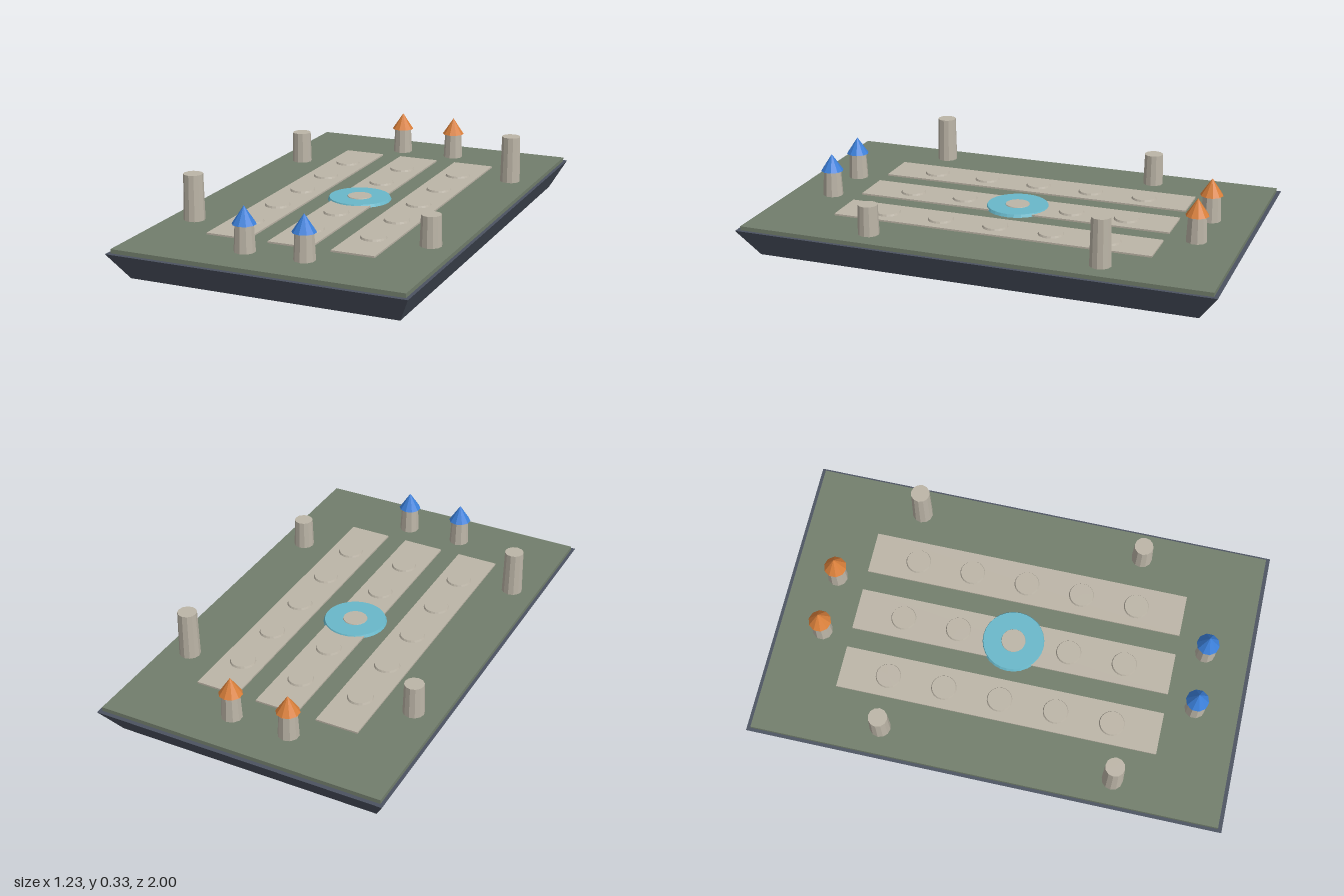
import * as THREE from 'three';

const mat = (name, color, flatShading = true) => {
  const m = new THREE.MeshStandardMaterial({ color, flatShading });
  m.name = name;
  return m;
};

export function createModel() {
  const slate = mat('slate', 0x4c5361);
  const moss = mat('moss', 0x727e6c);
  const stone = mat('stone', 0xbcb5a7);
  const water = mat('water', 0x69b8ca);
  const blue = mat('blue', 0x3b7fd9);
  const orange = mat('orange', 0xd97f3a);

  const model = new THREE.Group();
  model.name = 'arena';

  const add = (name, geometry, material, x, y, z, parent = model) => {
    const mesh = new THREE.Mesh(geometry, material);
    mesh.name = name;
    mesh.position.set(x, y, z);
    parent.add(mesh);
    return mesh;
  };
  // upright cylinder standing between two heights
  const column = (name, rTop, rBottom, y0, y1, sides, material, x, z, parent) =>
    add(name, new THREE.CylinderGeometry(rTop, rBottom, y1 - y0, sides), material, x, (y0 + y1) / 2, z, parent);

  // platform: a block whose lower corners are drawn inwards
  const base = new THREE.BoxGeometry(1.234, 0.114, 2);
  const p = base.attributes.position;
  for (let i = 0; i < p.count; i++) {
    if (p.getY(i) < 0) {
      p.setX(i, Math.sign(p.getX(i)) * 0.557);
      p.setZ(i, Math.sign(p.getZ(i)) * 0.92);
    }
  }
  base.computeVertexNormals();
  add('platformBase', base, slate, 0, 0.057, 0);
  add('grassTop', new THREE.BoxGeometry(1.206, 0.018, 1.965), moss, 0, 0.122, 0);

  // three paved lanes with round stepping stones
  for (const x of [-0.266, 0, 0.266]) {
    add('lane', new THREE.BoxGeometry(0.18, 0.008, 1.36), stone, x, 0.134, 0);
    for (let i = -2; i <= 2; i++) {
      column('steppingStone', 0.05, 0.054, 0.137, 0.146, 20, stone, x, i * 0.2385);
    }
  }

  // central pool around the middle stone
  column('pool', 0.128, 0.134, 0.131, 0.143, 28, water, 0, 0);

  // two pairs of roofed towers, one pair for each end
  for (const [z, roof] of [[0.8, blue], [-0.8, orange]]) {
    for (const x of [-0.125, 0.125]) {
      const tower = new THREE.Group();
      tower.name = 'tower';
      tower.position.set(x, 0, z);
      model.add(tower);
      column('towerBody', 0.037, 0.043, 0.13, 0.242, 10, stone, 0, 0, tower);
      add('towerRoof', new THREE.ConeGeometry(0.048, 0.072, 10), roof, 0, 0.276, 0, tower);
    }
  }

  // standing pillars of differing height
  for (const [x, z, top] of [
    [-0.497, 0.525, 0.322], [-0.487, -0.457, 0.265],
    [0.495, -0.515, 0.331], [0.495, 0.457, 0.256],
  ]) {
    column('pillar', 0.04, 0.044, 0.13, top, 12, stone, x, z);
  }

  return model;
}
